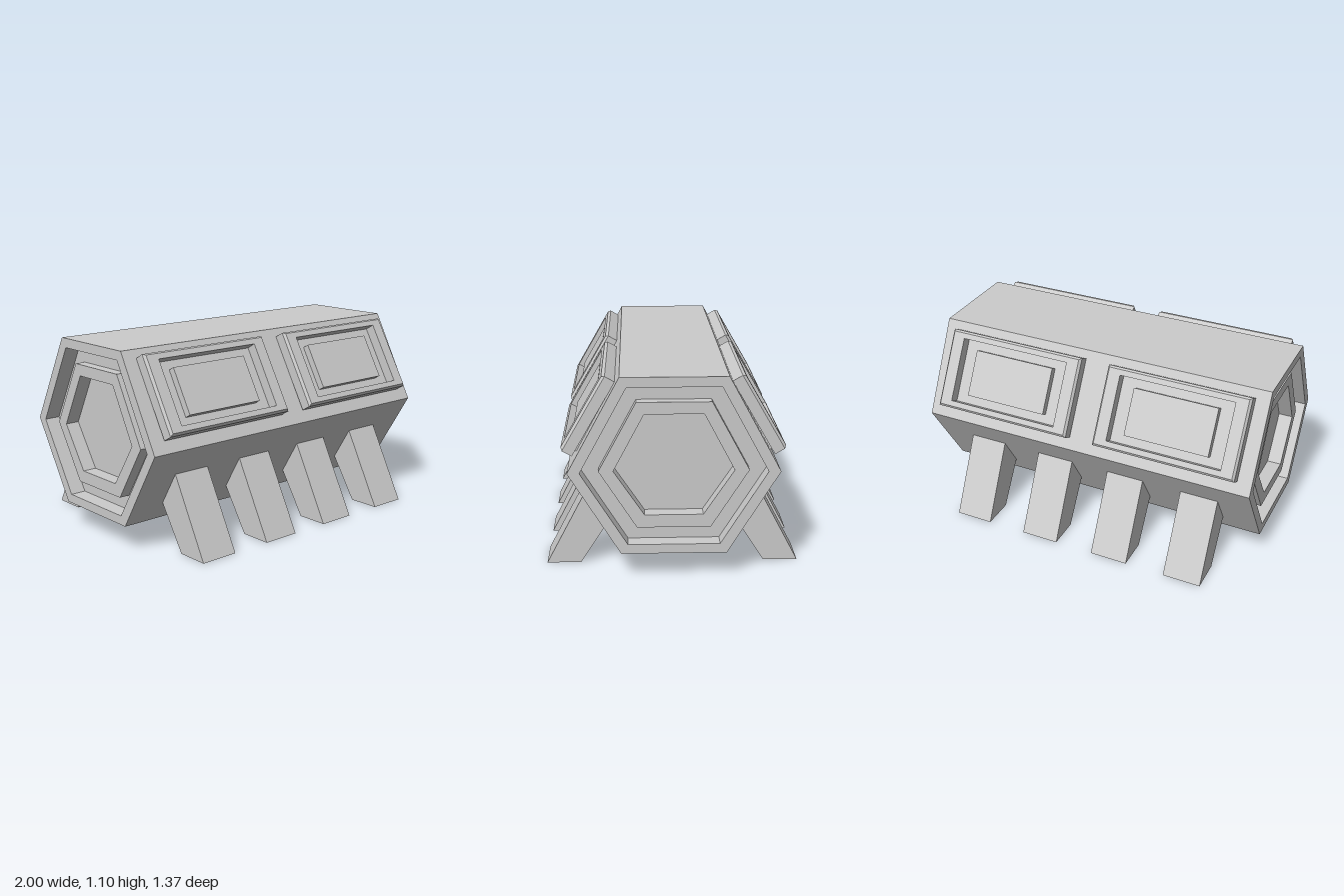
import * as THREE from 'three';

const material = new THREE.MeshStandardMaterial({ color: 0xcccccc, flatShading: true });

// Joins a row of counter-clockwise loops [points, height] along z and closes the last one
function steppedSurface(rings) {
  const pos = [];
  const put = (p, z) => pos.push(p[0], p[1], z);
  for (let r = 0; r < rings.length - 1; r++) {
    const [a, za] = rings[r], [b, zb] = rings[r + 1];
    for (let i = 0; i < a.length; i++) {
      const j = (i + 1) % a.length;
      put(a[i], za); put(a[j], za); put(b[j], zb);
      put(a[i], za); put(b[j], zb); put(b[i], zb);
    }
  }
  const [last, z] = rings[rings.length - 1];
  for (let i = 1; i < last.length - 1; i++) {
    put(last[0], z); put(last[i], z); put(last[i + 1], z);
  }
  const geo = new THREE.BufferGeometry();
  geo.setAttribute('position', new THREE.Float32BufferAttribute(pos, 3));
  geo.computeVertexNormals();
  return geo;
}

const hexagon = (side, corner, bottom, top, mid = 0.589) => [
  [side, mid], [corner, top], [-corner, top], [-side, mid], [-corner, bottom], [corner, bottom],
];
const rect = (w, h) => [[-w, -h], [w, -h], [w, h], [-w, h]];

function addMesh(parent, geo, name) {
  const mesh = new THREE.Mesh(geo, material);
  mesh.name = name;
  parent.add(mesh);
  return mesh;
}

export function createModel() {
  const model = new THREE.Group();
  model.name = 'hexagonalModule';

  // Half of the hexagonal hull: outer wall, rim, groove, raised ring and sunken hatch
  const outer = hexagon(0.552, 0.278, 0.142, 1.095);
  const rim = hexagon(0.488, 0.242, 0.193, 1.042);
  const ring = hexagon(0.392, 0.194, 0.277, 0.957);
  const hatch = hexagon(0.315, 0.154, 0.347, 0.893);
  const hullGeo = steppedSurface([
    [outer, 0], [outer, 1], [rim, 1], [rim, 0.91], [ring, 0.91],
    [ring, 0.97], [hatch, 0.97], [hatch, 0.89],
  ]);

  // Window panel: bevelled frame, recess and raised pane
  const panelGeo = steppedSurface([
    [rect(0.39, 0.2), -0.11], [rect(0.39, 0.2), -0.073], [rect(0.417, 0.228), -0.073],
    [rect(0.417, 0.228), -0.014], [rect(0.405, 0.216), 0], [rect(0.335, 0.185), 0],
    [rect(0.335, 0.185), -0.06], [rect(0.247, 0.134), -0.06], [rect(0.247, 0.134), -0.02],
  ]);

  // Leg: slanted strut, its upper end buried in the hull
  const legShape = new THREE.Shape([
    [0.5, 0], [0.685, 0], [0.42, 0.506], [0.276, 0.35],
  ].map(([x, y]) => new THREE.Vector2(x, y)));
  const legGeo = new THREE.ExtrudeGeometry(legShape, { depth: 0.222, bevelEnabled: false });
  legGeo.translate(0, 0, -0.111);

  for (const s of [1, -1]) {
    addMesh(model, hullGeo, s > 0 ? 'leftHull' : 'rightHull').rotation.y = s * Math.PI / 2;

    // Panels and legs of the front, then of the back
    const side = new THREE.Group();
    side.name = s > 0 ? 'frontSide' : 'backSide';
    if (s < 0) side.rotation.y = Math.PI;
    model.add(side);

    for (const x of [-0.502, 0.498]) {
      const panel = addMesh(side, panelGeo, 'windowPanel');
      panel.position.set(x * s, 0.889, 0.478);
      panel.rotation.x = -Math.PI / 6;
    }
    for (const x of [-0.684, -0.23, 0.22, 0.671]) {
      const leg = addMesh(side, legGeo, 'leg');
      leg.position.x = x * s;
      leg.rotation.y = -Math.PI / 2;
    }
  }
  return model;
}
